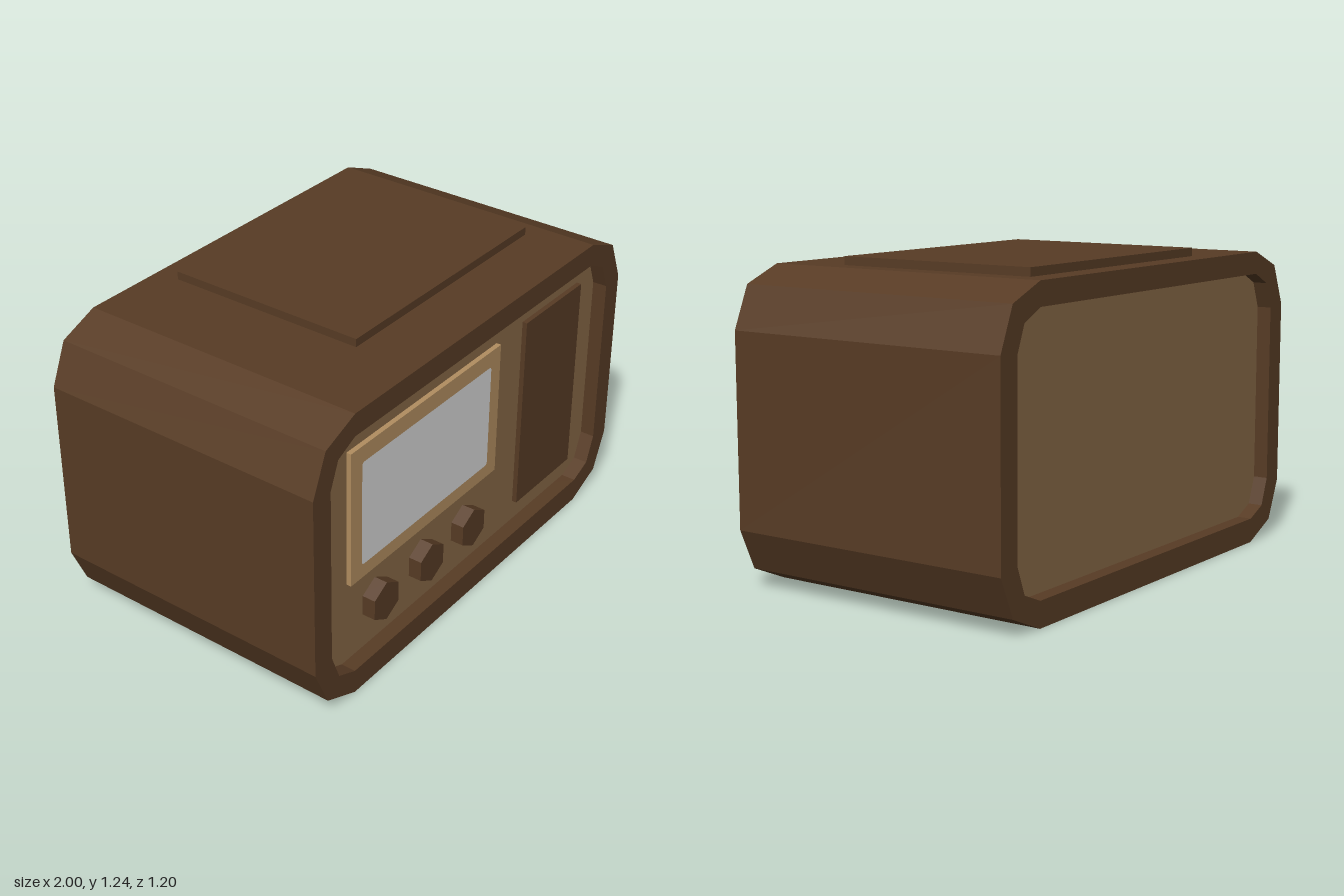
import * as THREE from 'three';

const material = (name, color) => {
  const m = new THREE.MeshStandardMaterial({ color });
  m.name = name;
  return m;
};

export function createModel() {
  const wood = material('dark wood', 0x583c25);
  const panelTan = material('panel tan', 0x866846);
  const trim = material('display trim', 0xb28e60);
  const glass = material('pale glass', 0xd6d6d6);

  const group = new THREE.Group();
  const add = (name, geometry, mat, x = 0, y = 0, z = 0) => {
    const mesh = new THREE.Mesh(geometry, mat);
    mesh.name = name;
    mesh.position.set(x, y, z);
    group.add(mesh);
    return mesh;
  };
  // box given by its min and max corners
  const addBox = (name, mat, [x0, y0, z0], [x1, y1, z1]) =>
    add(name, new THREE.BoxGeometry(x1 - x0, y1 - y0, z1 - z0), mat,
      (x0 + x1) / 2, (y0 + y1) / 2, (z0 + z1) / 2);

  // outline with faceted corners, mirrored from its right half (bottom to top)
  const outline = (half) => [...half, ...half.map(([x, y]) => [-x, y]).reverse()]
    .map(([x, y]) => new THREE.Vector2(x, y));
  const outer = outline([[0.77, 0], [0.93, 0.07], [1, 0.23], [1, 0.98], [0.93, 1.145], [0.77, 1.21]]);
  const inner = outline([[0.77, 0.1], [0.863, 0.14], [0.905, 0.25], [0.905, 0.97], [0.863, 1.075], [0.77, 1.12]]);

  // cabinet shell, open at both ends
  const shell = new THREE.Shape(outer);
  shell.holes.push(new THREE.Path(inner));
  add('cabinet', new THREE.ExtrudeGeometry(shell, { depth: 1.2, bevelEnabled: false }), wood, 0, 0, -0.6);

  // recessed front and back panels
  const face = 0.54;
  const panel = new THREE.ShapeGeometry(new THREE.Shape(inner));
  add('frontPanel', panel, panelTan, 0, 0, face);
  add('backPanel', panel, panelTan, 0, 0, -face).rotation.y = Math.PI;

  // top lid
  addBox('topLid', wood, [-0.42, 1.205, -0.5], [0.685, 1.243, 0.34]);

  // display surround and its rounded glass
  addBox('displayFrame', trim, [-0.74, 0.45, face - 0.01], [0.19, 1.015, face + 0.02]);
  const [x0, x1, y0, y1, r] = [-0.68, 0.125, 0.51, 0.95, 0.015];
  const screen = new THREE.Shape()
    .moveTo(x0 + r, y0).lineTo(x1 - r, y0).quadraticCurveTo(x1, y0, x1, y0 + r)
    .lineTo(x1, y1 - r).quadraticCurveTo(x1, y1, x1 - r, y1)
    .lineTo(x0 + r, y1).quadraticCurveTo(x0, y1, x0, y1 - r)
    .lineTo(x0, y0 + r).quadraticCurveTo(x0, y0, x0 + r, y0);
  add('displayGlass', new THREE.ShapeGeometry(screen, 4), glass, 0, 0, face + 0.023);

  // speaker plate
  addBox('speakerPlate', wood, [0.37, 0.19, face - 0.01], [0.77, 1.025, face + 0.02]);

  // hexagonal knobs, point up
  const hexagon = new THREE.Shape(Array.from({ length: 6 }, (_, i) => {
    const a = Math.PI / 2 + i * Math.PI / 3;
    return new THREE.Vector2(0.085 * Math.cos(a), 0.085 * Math.sin(a));
  }));
  const knob = new THREE.ExtrudeGeometry(hexagon, { depth: 0.065, bevelEnabled: false });
  [-0.57, -0.28, 0].forEach((x, i) => add('knob' + (i + 1), knob, wood, x, 0.295, face - 0.01));

  return group;
}
